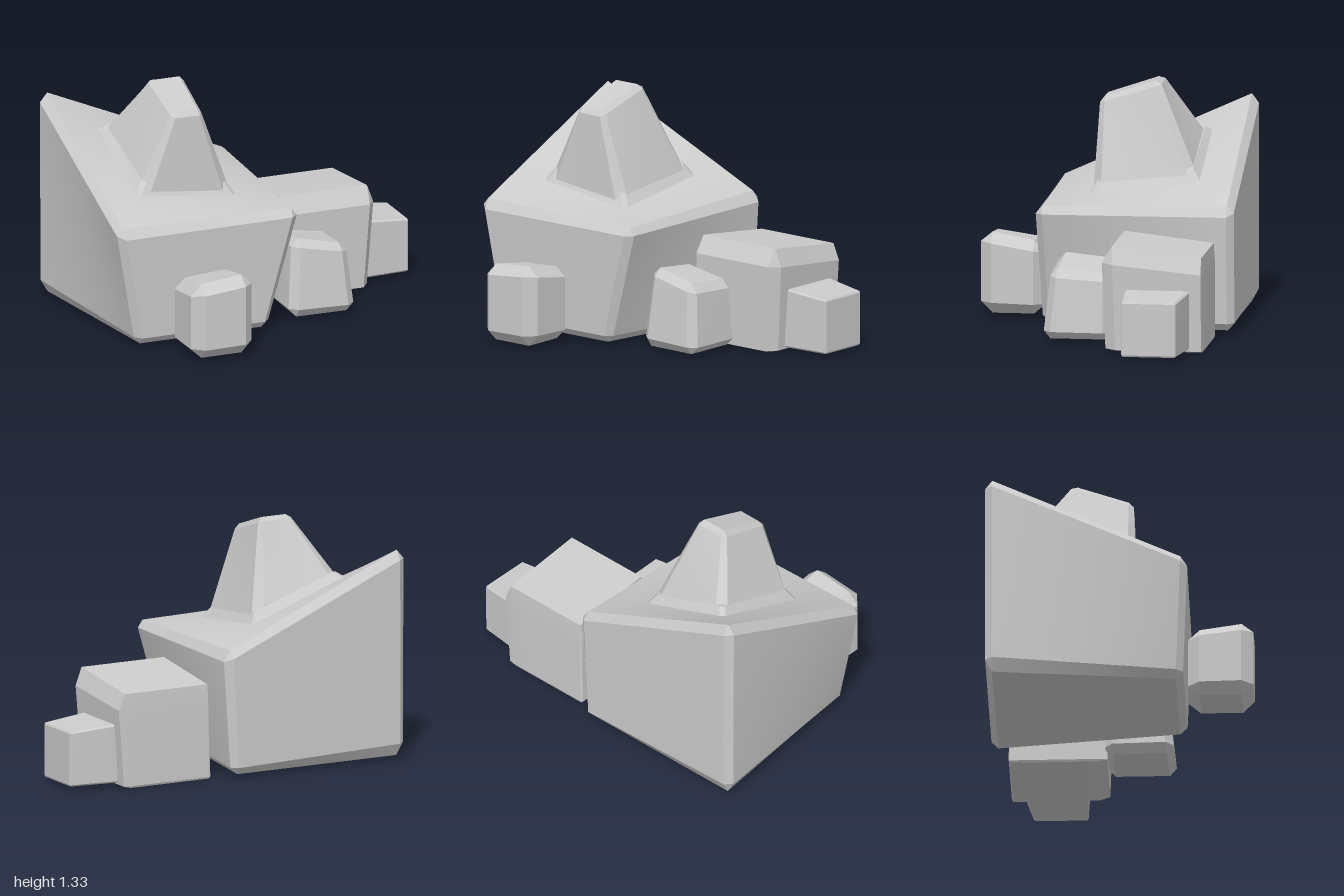
import * as THREE from 'three';
import { toCreasedNormals } from 'three/addons/utils/BufferGeometryUtils.js';

const material = new THREE.MeshStandardMaterial({ color: 0xcccccc });

// Bevelled block warped to eight corners.
// corners: back-left, back-right, front-right, front-left; lower four, then upper four.
// bevel: fraction cut at [low, high] of x, y and z.
function rock(name, corners, bevel, n = 6) {
  const verts = corners.map((c) => new THREE.Vector3(...c));
  const warp = (p) => {
    const mix = (a, b, t) => a.clone().lerp(b, t);
    const level = (o) => mix(mix(verts[o], verts[o + 1], p.x), mix(verts[o + 3], verts[o + 2], p.x), p.z);
    return mix(level(0), level(4), p.y);
  };
  const out = [];
  const tri = (a, b, c) => {
    const normal = b.clone().sub(a).cross(c.clone().sub(a));
    const mid = a.clone().add(b).add(c).divideScalar(3).subScalar(0.5);
    const order = normal.dot(mid) > 0 ? [a, b, c] : [a, c, b];
    for (const p of order) out.push(...warp(p).toArray());
  };
  const quads = (a, b, c, d, nu, nv) => {
    const at = (i, j) => a.clone().lerp(b, i / nu).lerp(d.clone().lerp(c, i / nu), j / nv);
    for (let i = 0; i < nu; i++) for (let j = 0; j < nv; j++) {
      tri(at(i, j), at(i + 1, j), at(i + 1, j + 1));
      tri(at(i, j), at(i + 1, j + 1), at(i, j + 1));
    }
  };
  // Point of a corner (three 0/1 sides) that lies on the face across one axis
  const pt = (sides, face) => new THREE.Vector3(...sides.map((s, k) =>
    k === face ? s : s ? 1 - bevel[k][1] : bevel[k][0]));
  const sidesOf = (a, sa, su, sv) => {
    const s = [0, 0, 0];
    s[a] = sa; s[(a + 1) % 3] = su; s[(a + 2) % 3] = sv;
    return s;
  };
  for (let a = 0; a < 3; a++) {
    const u = (a + 1) % 3, v = (a + 2) % 3;
    // Faces
    for (const s of [0, 1]) {
      quads(pt(sidesOf(a, s, 0, 0), a), pt(sidesOf(a, s, 1, 0), a),
        pt(sidesOf(a, s, 1, 1), a), pt(sidesOf(a, s, 0, 1), a), n, n);
    }
    // Edge bevels
    for (const su of [0, 1]) for (const sv of [0, 1]) {
      const lo = sidesOf(a, 0, su, sv), hi = sidesOf(a, 1, su, sv);
      quads(pt(lo, u), pt(hi, u), pt(hi, v), pt(lo, v), n, 1);
    }
  }
  // Corner cuts
  for (let i = 0; i < 8; i++) {
    const s = [i & 1, (i >> 1) & 1, i >> 2];
    tri(pt(s, 0), pt(s, 1), pt(s, 2));
  }
  const geometry = new THREE.BufferGeometry();
  geometry.setAttribute('position', new THREE.Float32BufferAttribute(out, 3));
  const mesh = new THREE.Mesh(toCreasedNormals(geometry, 0.3), material);
  mesh.name = name;
  return mesh;
}

const even = (x, y = x, z = x) => [[x, x], [y, y], [z, z]];

export function createModel() {
  const group = new THREE.Group();

  // Large boulder, its top rising to the back left corner
  group.add(rock('boulder', [
    [-1, 0.02, -0.73], [0.09, 0.02, -0.73], [-0.08, 0.02, 0.35], [-0.85, 0.02, 0.35],
    [-1, 1.21, -0.73], [0.13, 0.7, -0.73], [0.11, 0.69, 0.37], [-0.98, 0.69, 0.38],
  ], even(0.038, 0.06, 0.035), 10));

  // Height of the boulder's top
  const topY = (x, z) => 0.69 + 0.51 * ((0.12 - x) / 1.12) * ((0.37 - z) / 1.1);
  const ring = (x0, x1, z0, z1, lift) => [[x0, z0], [x1, z0], [x1, z1], [x0, z1]]
    .map(([x, z]) => [x, topY(x, z) + lift, z]);

  // Peak on the boulder and the flared foot around it
  group.add(rock('peak', [
    ...ring(-0.74, -0.17, -0.5, 0.09, -0.02),
    [-0.53, 1.34, -0.26], [-0.34, 1.34, -0.26], [-0.36, 1.23, 0.07], [-0.52, 1.23, 0.07],
  ], [[0.1, 0.1], [0.02, 0.05], [0.07, 0.08]]));
  group.add(rock('peakFoot', [
    ...ring(-0.76, -0.15, -0.52, 0.11, -0.01),
    ...ring(-0.7, -0.21, -0.46, 0.06, 0.07),
  ], even(0.04, 0.1, 0.04)));

  // Small rock in front
  group.add(rock('frontRock', [
    [-0.67, 0.02, 0.37], [-0.31, 0.02, 0.37], [-0.31, 0.02, 0.73], [-0.67, 0.02, 0.73],
    [-0.67, 0.4, 0.37], [-0.31, 0.42, 0.37], [-0.31, 0.49, 0.73], [-0.67, 0.45, 0.73],
  ], even(0.17, 0.14, 0.18)));

  // Small leaning rock beside the boulder
  group.add(rock('leaningRock', [
    [0.1, 0.02, -0.11], [0.48, 0.02, -0.1], [0.48, 0.02, 0.28], [0.09, 0.02, 0.27],
    [0.11, 0.43, -0.11], [0.45, 0.38, -0.09], [0.44, 0.4, 0.24], [0.13, 0.47, 0.22],
  ], even(0.12, 0.11, 0.11)));

  // Square block
  group.add(rock('squareBlock', [
    [0.18, 0, -0.64], [0.72, 0, -0.64], [0.72, 0, -0.1], [0.18, 0, -0.1],
    [0.19, 0.53, -0.64], [0.76, 0.53, -0.64], [0.76, 0.595, -0.08], [0.19, 0.595, -0.08],
  ], [[0.015, 0.08], [0.02, 0.17], [0.01, 0.11]]));

  // Smallest block at the far end
  group.add(rock('endBlock', [
    [0.7, 0.02, -0.57], [1, 0.02, -0.53], [1, 0.02, -0.23], [0.7, 0.02, -0.21],
    [0.7, 0.355, -0.58], [1, 0.325, -0.53], [1, 0.325, -0.23], [0.7, 0.355, -0.21],
  ], even(0.02, 0.03, 0.03)));

  return group;
}
